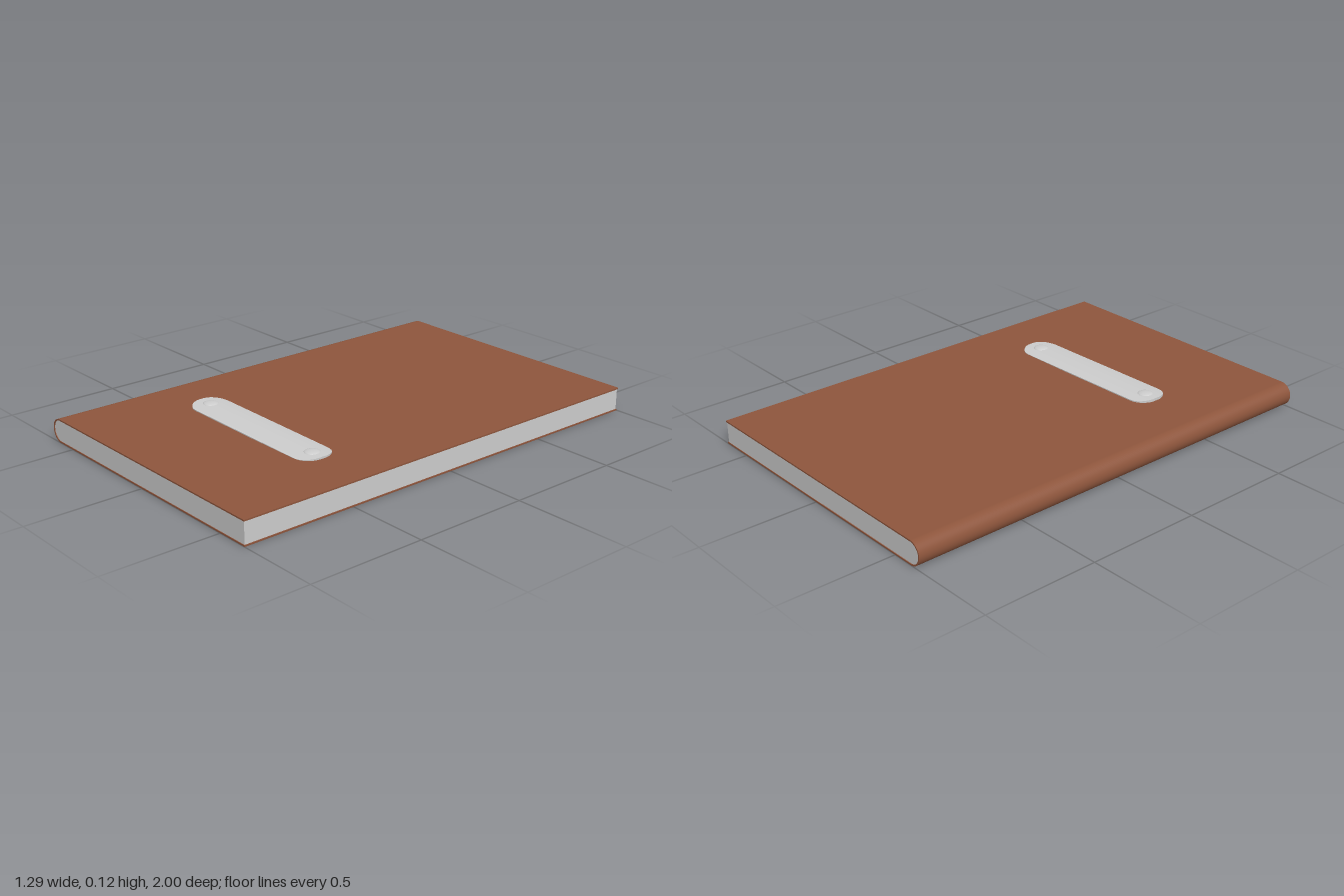
import * as THREE from 'three';

const H = 0.103;        // overall book thickness
const T = 0.006;        // cover thickness
const R = H / 2;        // outer spine radius
const EDGE = 0.643;     // fore edge of the cover
const SPINE = -EDGE + R; // centre of the rounded spine

const grey = new THREE.MeshStandardMaterial({ color: 0xcccccc });
const leather = new THREE.MeshStandardMaterial({ color: 0x8d553c });

function add(group, name, geometry, material) {
  const mesh = new THREE.Mesh(geometry, material);
  mesh.name = name;
  group.add(mesh);
  return mesh;
}

function extrudeAlongZ(shape, depth) {
  return new THREE.ExtrudeGeometry(shape, { depth, bevelEnabled: false, curveSegments: 32 })
    .translate(0, 0, -depth / 2);
}

// Profile with a half-round spine at -x
function roundedSlab(right, radius) {
  const s = new THREE.Shape();
  s.moveTo(right, R - radius);
  s.lineTo(right, R + radius);
  s.lineTo(SPINE, R + radius);
  s.absarc(SPINE, R, radius, Math.PI / 2, Math.PI * 1.5, false);
  s.closePath();
  return s;
}

// One wrap-around strip: bottom board, spine, top board
function coverShape() {
  const r = R - T;
  const s = new THREE.Shape();
  s.moveTo(EDGE, H);
  s.lineTo(SPINE, H);
  s.absarc(SPINE, R, R, Math.PI / 2, Math.PI * 1.5, false);
  s.lineTo(EDGE, 0);
  s.lineTo(EDGE, T);
  s.lineTo(SPINE, T);
  s.absarc(SPINE, R, r, Math.PI * 1.5, Math.PI / 2, true);
  s.lineTo(EDGE, H - T);
  s.closePath();
  return s;
}

// Thin strip with rounded corners, gently domed across its width
function plateGeometry(halfL, halfW, corner, thick, dome) {
  const g = new THREE.BoxGeometry(2, 1, 2, 48, 1, 20);
  const p = g.attributes.position;
  for (let i = 0; i < p.count; i++) {
    const x = halfL * Math.sin(p.getX(i) * Math.PI / 2);
    const over = Math.max(0, Math.abs(x) - (halfL - corner));
    const w = halfW - corner + Math.sqrt(Math.max(0, corner * corner - over * over));
    const z = p.getZ(i) * w;
    const top = p.getY(i) > 0;
    const y = top ? thick + dome * (1 - (z / halfW) ** 2) : 0;
    p.setXYZ(i, x, y, z);
  }
  g.computeVertexNormals();
  return g;
}

// Low domed rivet head
function rivetGeometry(radius, height) {
  const pts = [];
  for (let i = 0; i <= 8; i++) {
    const a = (i / 8) * Math.PI / 2;
    pts.push(new THREE.Vector2(radius * Math.cos(a), height * Math.sin(a)));
  }
  pts[8].x = 0;
  return new THREE.LatheGeometry(pts, 32);
}

export function createModel() {
  const model = new THREE.Group();
  model.name = 'book';

  add(model, 'cover', extrudeAlongZ(coverShape(), 2), leather);
  add(model, 'pages', extrudeAlongZ(roundedSlab(EDGE - 0.004, R - T), 1.994), grey);

  // Metal strip, leaning slightly down towards +x
  const clasp = new THREE.Group();
  clasp.name = 'metalStrip';
  clasp.position.set(0.017, 0.1035, 0.451);
  clasp.rotation.z = -0.0105;
  add(clasp, 'plate', plateGeometry(0.392, 0.083, 0.072, 0.004, 0.008), grey);
  for (const [name, x] of [['rightRivet', -0.328], ['leftRivet', 0.328]]) {
    add(clasp, name, rivetGeometry(0.033, 0.0085), grey).position.set(x, 0.0095, 0);
  }
  model.add(clasp);

  return model;
}
